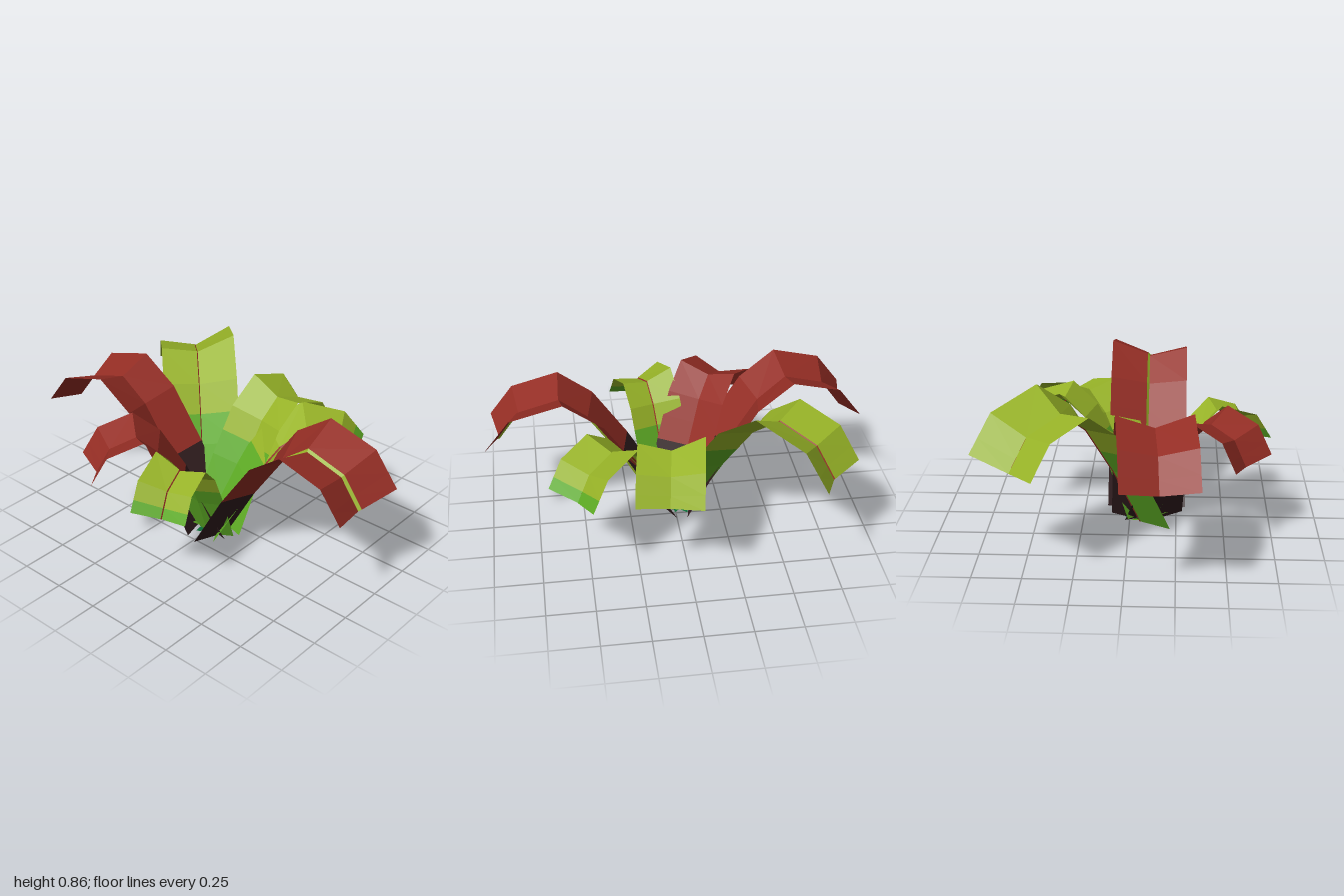
import * as THREE from 'three';

const mat = (name, color) => {
  const m = new THREE.MeshStandardMaterial({ color, flatShading: true, side: THREE.DoubleSide });
  m.name = name;
  return m;
};

// Faceted sheet through a grid of points (rows run along the leaf)
function sheet(rows, material, name) {
  const pos = [];
  const tri = (...pts) => pts.forEach(p => pos.push(p.x, p.y, p.z));
  for (let i = 0; i < rows.length - 1; i++) {
    for (let j = 0; j < rows[i].length - 1; j++) {
      const a = rows[i][j], b = rows[i][j + 1], c = rows[i + 1][j + 1], d = rows[i + 1][j];
      tri(a, d, c);
      tri(a, c, b);
    }
  }
  const geo = new THREE.BufferGeometry();
  geo.setAttribute('position', new THREE.Float32BufferAttribute(pos, 3));
  geo.computeVertexNormals();
  const mesh = new THREE.Mesh(geo, material);
  mesh.name = name;
  return mesh;
}

// Midrib of a leaf: [distance outwards, height]
const RIB = [[0.09, 0.01], [0.28, 0.35], [0.46, 0.62], [0.61, 0.74], [0.82, 0.68], [0.93, 0.53]];

// Points across the leaf at each station; side runs from -1 to 1, and the half
// beyond the rib stripe is raised by a small step
function leafRows({ reach, height, width, roll, rib = 0, step = 0, inset = 0 }, sides) {
  const line = RIB.map(([r, y], i) =>
    new THREE.Vector2(r * reach - inset * Math.max(0, 1 - i / 3), y * height));
  const depth = width / 6;
  const rows = line.map((p, i) => {
    const t = line[Math.min(i + 1, line.length - 1)].clone().sub(line[Math.max(i - 1, 0)]).normalize();
    return sides.map(s => {
      const raised = rib !== 0 && s * Math.sign(rib) > 0 ? step : 0;
      const lift = depth * Math.abs(s) + roll * s + raised;
      return new THREE.Vector3(s * width / 2, p.y + t.x * lift, p.x - t.y * lift);
    });
  });
  // Extra stations where the colour changes: on the rise and near the tip
  const between = (i, f) => rows[i].map((p, j) => p.clone().lerp(rows[i + 1][j], f));
  const rise = between(1, 0.5), tip = between(4, 0.6);
  rows.splice(5, 0, tip);
  rows.splice(2, 0, rise);
  return rows;
}

export function createModel() {
  const model = new THREE.Group();
  model.name = 'plant';
  const red = mat('leafRed', 0x942d24);
  const dark = mat('darkBase', 0x311d1f);
  const lime = mat('limeGreen', 0x97b327);
  const green = mat('leafGreen', 0x5daa24);
  const teal = mat('deepGreen', 0x0c763c);
  const centre = new THREE.Vector3(-0.09, 0, 0);

  // dir: [x, z] heading; split: station where the base colour ends;
  // rib: signed stripe width, on the half that is stepped up
  const redLeaf = { base: dark, blade: red, tip: red, split: 1, stripe: lime };
  const limeLeaf = { base: green, blade: lime, tip: lime, split: 2, stripe: red };
  const leaves = [
    { ...redLeaf, name: 'frontLeaf', dir: [0, 1], reach: 0.995, height: 0.98, width: 0.42, roll: 0.016, rib: 0.06, step: 0.009 },
    { ...redLeaf, name: 'backLeaf', dir: [-0.08, -0.91], reach: 1, height: 1.01, width: 0.38, roll: 0 },
    { ...limeLeaf, name: 'backLeftLeaf', dir: [0.705, -0.725], at: [-0.03, -0.03], reach: 1.03, height: 1.03, width: 0.4, roll: -0.036, rib: 0.025, step: 0.003 },
    { ...limeLeaf, name: 'leftLeaf', dir: [0.7, 0.11], reach: 0.73, height: 0.89, width: 0.34, roll: 0.02 },
    { ...limeLeaf, name: 'frontLeftLeaf', dir: [0.52, 0.57], reach: 0.8, height: 0.81, width: 0.35, roll: 0.022, rib: 0.03, step: 0.005, inset: 0.05, tip: green },
    { ...limeLeaf, name: 'rightLeaf', dir: [-0.57, 0.16], reach: 0.63, height: 0.79, width: 0.28, roll: -0.02, rib: -0.03, step: 0.004, inset: -0.02, tip: green },
    { ...redLeaf, name: 'backRightLeaf', dir: [-0.53, -0.38], reach: 0.67, height: 0.85, width: 0.33, roll: 0, inset: 0.03 },
  ];

  for (const leaf of leaves) {
    const group = new THREE.Group();
    group.name = leaf.name;
    const rib = leaf.rib ?? 0;
    for (const sides of [[-1, Math.min(rib, 0)], [Math.max(rib, 0), 1]]) {
      const rows = leafRows(leaf, sides);
      group.add(sheet(rows.slice(0, leaf.split + 1), leaf.base, 'leafBase'));
      group.add(sheet(rows.slice(leaf.split, 7), leaf.blade, 'leafBlade'));
      group.add(sheet(rows.slice(6), leaf.tip, 'leafTip'));
    }
    if (rib) group.add(sheet(leafRows(leaf, [Math.min(rib, 0), Math.max(rib, 0)]), leaf.stripe, 'midrib'));
    group.rotation.y = Math.atan2(leaf.dir[0], leaf.dir[1]);
    const [dx, dz] = leaf.at ?? [0, 0];
    group.position.set(centre.x + dx, 0, centre.z + dz);
    model.add(group);
  }

  // Tuft of small pointed sprouts around the foot
  const tuft = new THREE.Group();
  tuft.name = 'tuft';
  tuft.position.set(centre.x, 0, -0.03);
  let seed = 7;
  const rnd = () => (seed = (seed * 16807) % 2147483647) / 2147483647;
  for (let i = 0; i < 26; i++) {
    const tall = i % 5 === 0;
    const w = 0.012 + rnd() * 0.012;
    const h = tall ? 0.1 + rnd() * 0.08 : 0.02 + rnd() * 0.05;
    const out = tall ? 0.07 : 0.08 + rnd() * 0.06;
    const row = (r, y, half) => [new THREE.Vector3(-half, y, r), new THREE.Vector3(half, y, r)];
    const sprout = sheet([row(0.01, 0.005, w * 0.6), row(out * 0.6, h * 0.6, w), row(out, h, 0.001)],
      i % 3 === 1 ? green : teal, 'sprout');
    sprout.rotation.y = i * 2.4;
    tuft.add(sprout);
  }
  const core = new THREE.Mesh(new THREE.ConeGeometry(0.065, 0.09, 7), teal);
  core.name = 'tuftCore';
  core.position.y = 0.06;
  tuft.add(core);
  model.add(tuft);

  return model;
}
